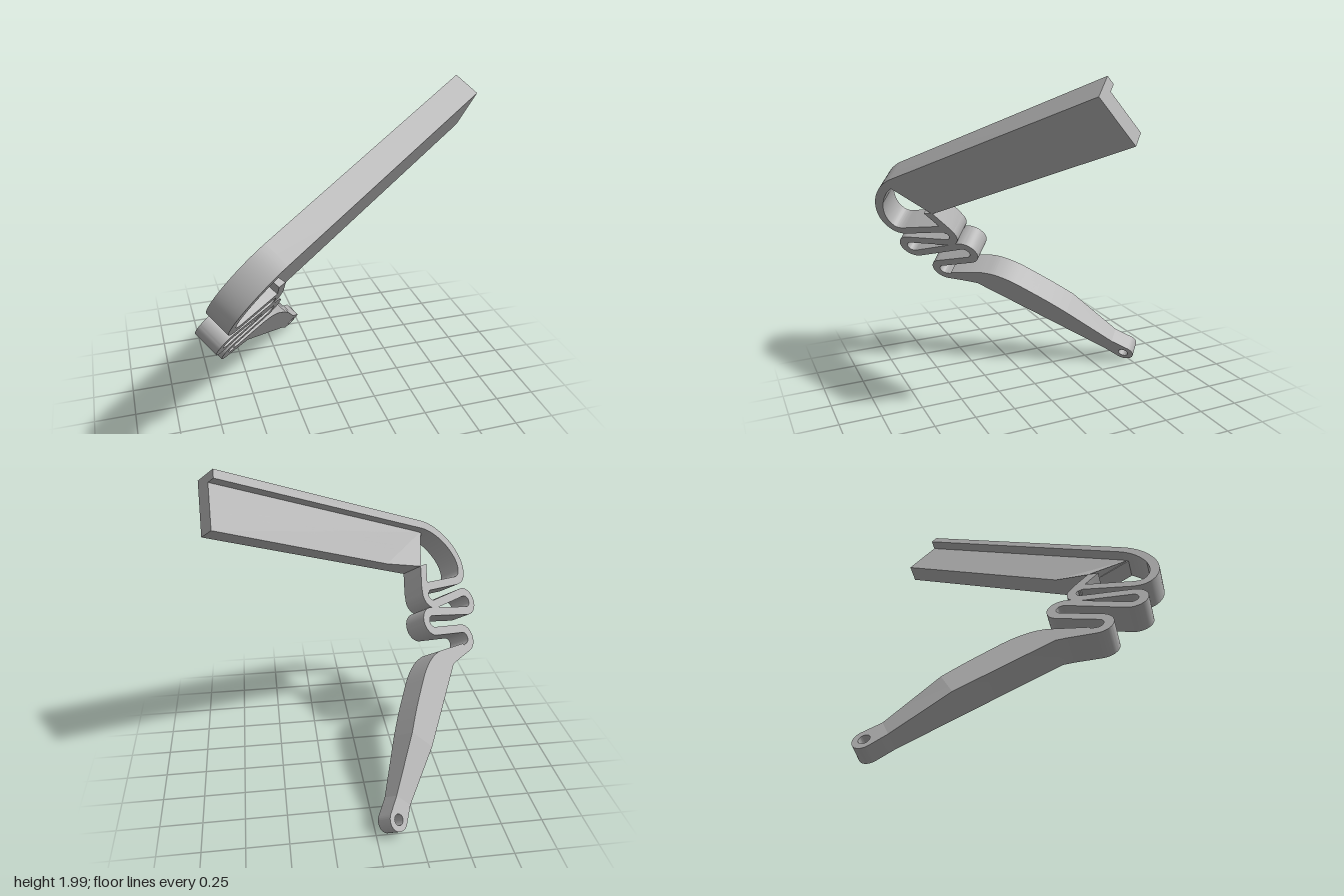
import * as THREE from 'three';
import { toCreasedNormals } from 'three/addons/utils/BufferGeometryUtils.js';

const WIDTH = 0.162;   // full width of spring and flange
const STEP = 0.058;    // recess of the thinner web and foot
const rad = THREE.MathUtils.degToRad;
const P = (x, y) => new THREE.Vector2(x, y);

const grey = new THREE.MeshStandardMaterial({ color: 0xb4b4b4 });
grey.name = 'plain grey';

function extrude(name, shape, z0 = 0, depth = WIDTH, edit) {
  let geo = new THREE.ExtrudeGeometry(shape, { depth, bevelEnabled: false, curveSegments: 20 });
  if (edit) edit(geo.attributes.position);
  geo.translate(0, 0, z0);
  geo = toCreasedNormals(geo, 0.5);
  const mesh = new THREE.Mesh(geo, grey);
  mesh.name = name;
  return mesh;
}

// Strip of constant thickness along a centre line
function strip(points, half) {
  const left = [], right = [];
  points.forEach((p, i) => {
    const a = points[Math.max(i - 1, 0)], b = points[Math.min(i + 1, points.length - 1)];
    const t1 = p.clone().sub(a).normalize(), t2 = b.clone().sub(p).normalize();
    const t = t1.add(t2).normalize();
    left.push(P(p.x - t.y * half, p.y + t.x * half));
    right.push(P(p.x + t.y * half, p.y - t.x * half));
  });
  return new THREE.Shape([...left, ...right.reverse()]);
}

function addHole(shape, x, y, r) {
  const hole = new THREE.Path();
  hole.absarc(x, y, r, 0, Math.PI * 2, true);
  shape.holes.push(hole);
}

export function createModel() {
  const model = new THREE.Group();
  model.name = 'springBracket';

  // Everything is drawn flat, then tilted into place
  const part = new THREE.Group();
  part.name = 'tiltedBody';
  const u = new THREE.Vector3(0.822, 0.363, -0.439).normalize();
  const n = new THREE.Vector3(0.57, -0.55, 0.61);
  n.addScaledVector(u, -n.dot(u)).normalize();
  const v = new THREE.Vector3().crossVectors(n, u);
  part.quaternion.setFromRotationMatrix(new THREE.Matrix4().makeBasis(u, v, n));
  part.position.copy(n).multiplyScalar(-0.668);
  model.add(part);

  // Flange, big arch and folded spring as one continuous strip
  const path = new THREE.Path();
  path.moveTo(1.39, 1.483);
  path.lineTo(-0.2, 1.483);
  path.bezierCurveTo(-0.37, 1.483, -0.545, 1.34, -0.545, 1.215);
  path.bezierCurveTo(-0.545, 1.15, -0.51, 1.125, -0.45, 1.112);
  path.absarc(-0.215, 0.985, 0.062, rad(75), rad(-110), true);
  path.absarc(-0.54, 0.978, 0.066, rad(70), rad(262), false);
  path.absarc(-0.195, 0.803, 0.066, rad(82), rad(-98), true);
  path.absarc(-0.47, 0.712, 0.066, rad(82), rad(241), false);
  path.lineTo(-0.3, 0.545);
  part.add(extrude('flangeAndSpring', strip(path.getPoints(16), 0.0275)));

  // Strut from the first fold to the bar
  part.add(extrude('strut', new THREE.Shape([
    P(-0.195, 1.0), P(-0.126, 0.985), P(-0.125, 1.03), P(-0.142, 1.178), P(-0.2, 1.2), P(-0.185, 1.08),
  ])));

  // Thin web of the bar with a row of holes
  const web = new THREE.Shape([P(-0.145, 1.175), P(1.39, 1.175), P(1.39, 1.458), P(-0.262, 1.458)]);
  for (let i = 0; i < 5; i++) addHole(web, -0.004 + i * 0.3245, 1.308, 0.033);
  part.add(extrude('barWeb', web, STEP, WIDTH - STEP));

  // Ramp from the web up to the strut corner
  const ramp = new THREE.Shape([P(-0.145, 1.175), P(0.106, 1.175), P(-0.25, 1.458)]);
  part.add(extrude('webRamp', ramp, 0, STEP + 0.01, (pos) => {
    for (let i = 0; i < pos.count; i++) {
      const corner = Math.abs(pos.getX(i) + 0.145) < 0.001;
      if (pos.getZ(i) < 0.001 && !corner) pos.setZ(i, STEP);
    }
  }));

  // Leg: full-width body with a curved back
  const body = new THREE.Shape();
  body.moveTo(-0.49, 0.628);
  body.lineTo(-0.325, 0.522);
  body.lineTo(-0.02, -0.006);
  body.lineTo(0.134, 0.083);
  body.splineThru([P(0.085, 0.195), P(0.03, 0.308), P(-0.055, 0.465), P(-0.135, 0.558), P(-0.21, 0.605)]);
  body.lineTo(-0.45, 0.672);
  part.add(extrude('legBody', body));

  // Leg: section that thins towards the foot
  const taper = new THREE.Shape([P(-0.02, -0.006), P(0.169, -0.335), P(0.27, -0.275), P(0.134, 0.083)]);
  part.add(extrude('legTaper', taper, 0, WIDTH, (pos) => {
    for (let i = 0; i < pos.count; i++) {
      if (pos.getZ(i) < 0.001 && pos.getY(i) < -0.2) pos.setZ(i, STEP);
    }
  }));

  // Rounded foot with its eye
  const foot = new THREE.Shape();
  foot.moveTo(0.27, -0.275);
  foot.lineTo(0.169, -0.335);
  foot.absarc(0.276, -0.411, 0.068, rad(210), rad(390), false);
  addHole(foot, 0.276, -0.411, 0.033);
  part.add(extrude('foot', foot, STEP, WIDTH - STEP));

  return model;
}
